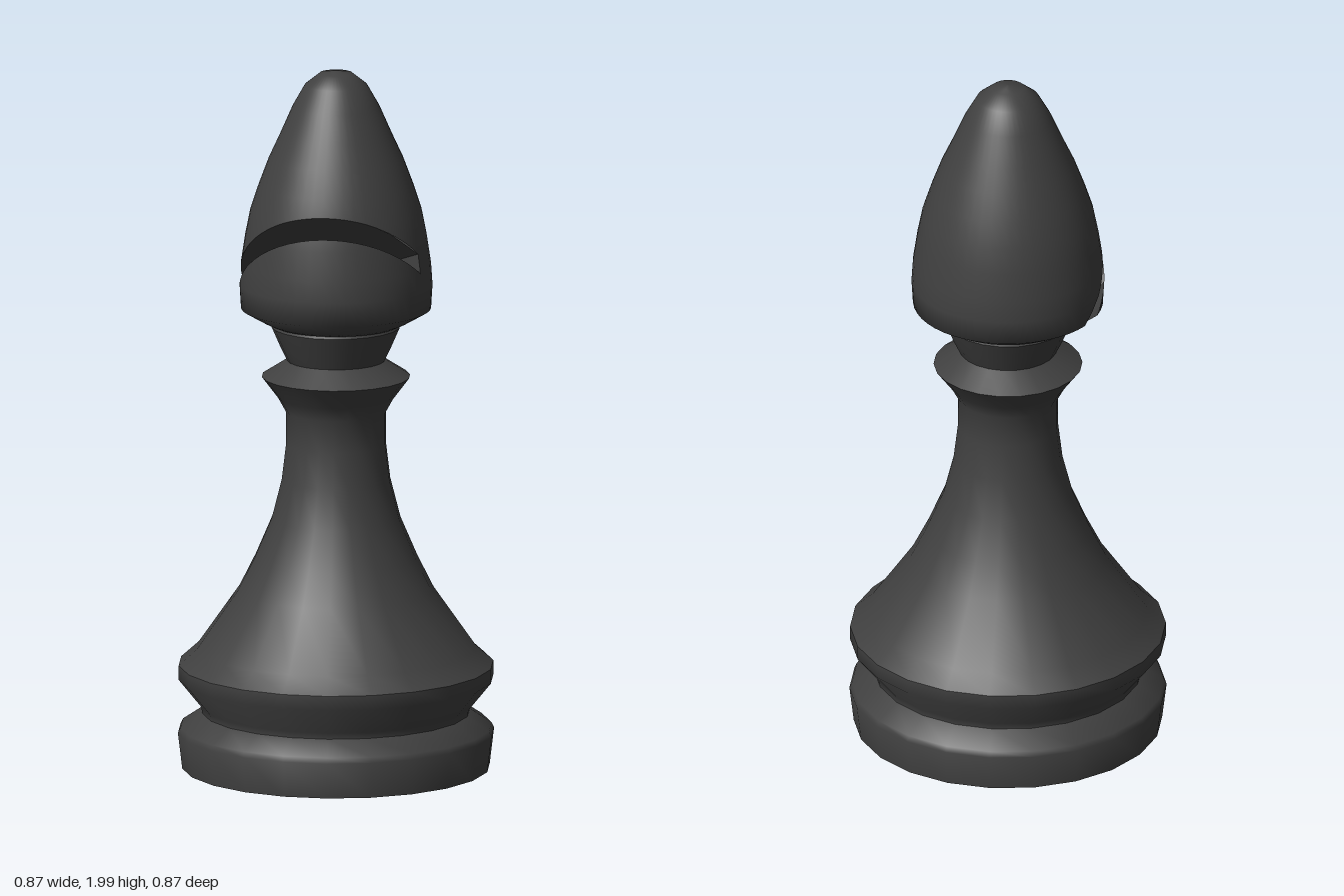
import * as THREE from 'three';
import { toCreasedNormals } from 'three/addons/utils/BufferGeometryUtils.js';

const bodyProfile = [
  [0, 0.01], [0.425, 0.04], [0.437, 0.14], [0.43, 0.155], [0.37, 0.195], [0.372, 0.212],
  [0.435, 0.29], [0.435, 0.33], [0.385, 0.375], [0.27, 0.54], [0.225, 0.63], [0.178, 0.74],
  [0.15, 0.85], [0.138, 0.95], [0.138, 1.04], [0.16, 1.08], [0.205, 1.14], [0.135, 1.185],
  [0.152, 1.22], [0.178, 1.28], [0.17, 1.3], [0, 1.3],
];
const headProfile = [
  [0, 1.283], [0.18, 1.288], [0.205, 1.3], [0.262, 1.333], [0.266, 1.4], [0.262, 1.46],
  [0.25, 1.54], [0.236, 1.61], [0.213, 1.68], [0.185, 1.755], [0.155, 1.82], [0.12, 1.9],
  [0.086, 1.96], [0.045, 1.993], [0, 2],
];
const lathe = (profile, sides) =>
  new THREE.LatheGeometry(profile.map(([r, y]) => new THREE.Vector2(r, y)), sides);

// Slanted axes of the slot: R across, U up, V along its inner edge
const az = Math.PI / 4, el = THREE.MathUtils.degToRad(20);
const R = new THREE.Vector3(Math.cos(az), 0, -Math.sin(az));
const V = new THREE.Vector3(Math.sin(az) * Math.cos(el), Math.sin(el), Math.cos(az) * Math.cos(el));
const U = new THREE.Vector3().crossVectors(V, R);
const innerR = 0.02;
const ceilingU = (r) => 1.345 - 0.75 * r;
const floorU = (r) => 1.29 - 0.7 * r;
const at = (r, u, v) => new THREE.Vector3().addScaledVector(R, r).addScaledVector(U, u).addScaledVector(V, v);

// Signed distances to the slot's three faces
const acrossInner = (p) => p.dot(R) - innerR;
const aboveCeiling = (p) => p.dot(U) - ceilingU(p.dot(R));
const aboveFloor = (p) => p.dot(U) - floorU(p.dot(R));

// Keep the part of a polygon where the distance is positive
function clip(poly, dist) {
  const out = [];
  poly.forEach((a, i) => {
    const b = poly[(i + 1) % poly.length], da = dist(a.p), db = dist(b.p);
    if (da >= 0) out.push(a);
    if ((da >= 0) !== (db >= 0)) {
      const t = da / (da - db);
      out.push({ p: a.p.clone().lerp(b.p, t), n: a.n.clone().lerp(b.n, t).normalize() });
    }
  });
  return out;
}

// Head shell with the slot opening cut away
function slottedHead() {
  const g = lathe(headProfile, 48), pos = g.attributes.position, nor = g.attributes.normal;
  const points = [], normals = [];
  const add = (poly) => {
    for (let i = 1; i + 1 < poly.length; i++) {
      for (const c of [poly[0], poly[i], poly[i + 1]]) {
        points.push(...c.p.toArray());
        normals.push(...c.n.toArray());
      }
    }
  };
  for (let i = 0; i < g.index.count; i += 3) {
    const tri = [0, 1, 2].map((k) => {
      const j = g.index.getX(i + k);
      return { p: new THREE.Vector3().fromBufferAttribute(pos, j), n: new THREE.Vector3().fromBufferAttribute(nor, j) };
    });
    add(clip(tri, acrossInner));
    const outer = clip(tri, (p) => -acrossInner(p));
    add(clip(outer, aboveCeiling));
    add(clip(outer, (p) => -aboveFloor(p)));
  }
  const out = new THREE.BufferGeometry();
  out.setAttribute('position', new THREE.Float32BufferAttribute(points, 3));
  out.setAttribute('normal', new THREE.Float32BufferAttribute(normals, 3));
  return out;
}

function insideHead(p) {
  const i = headProfile.findIndex(([, y]) => y > p.y);
  if (i < 1) return false;
  const [r0, y0] = headProfile[i - 1], [r1, y1] = headProfile[i];
  return Math.hypot(p.x, p.z) < r0 + (r1 - r0) * (p.y - y0) / (y1 - y0);
}

// Distance along a direction to the head surface
function reach(pointAt) {
  let lo = 0, hi = 0.6;
  for (let i = 0; i < 30; i++) {
    const mid = (lo + hi) / 2;
    if (insideHead(pointAt(mid))) lo = mid; else hi = mid;
  }
  return lo;
}

// Strip of quads between two rows of points
function ribbon(rowA, rowB, flip) {
  const points = [];
  for (let i = 0; i + 1 < rowA.length; i++) {
    const [a, b, c, d] = [rowA[i], rowA[i + 1], rowB[i + 1], rowB[i]];
    for (const p of flip ? [a, c, b, a, d, c] : [a, b, c, a, c, d]) points.push(p.x, p.y, p.z);
  }
  const g = new THREE.BufferGeometry();
  g.setAttribute('position', new THREE.Float32BufferAttribute(points, 3));
  g.computeVertexNormals();
  return g;
}

// Inner and outer edge of one slot face
function slotRows(height) {
  const u = height(innerR), mid = u * Math.tan(el), inner = [], outer = [], steps = 40;
  const front = reach((t) => at(innerR, u, mid + t)), back = reach((t) => at(innerR, u, mid - t));
  for (let i = 0; i <= steps; i++) {
    const v = mid - back + (front + back) * i / steps;
    const far = innerR - reach((t) => at(innerR - t, height(innerR - t), v));
    inner.push(at(innerR, u, v));
    outer.push(at(far, height(far), v));
  }
  return { inner, outer };
}

export function createModel() {
  const group = new THREE.Group();
  const charcoal = new THREE.MeshStandardMaterial({ color: 0x404040, side: THREE.DoubleSide });
  charcoal.name = 'charcoal';
  const add = (name, geometry) => {
    const mesh = new THREE.Mesh(geometry, charcoal);
    mesh.name = name;
    group.add(mesh);
  };

  // Turned base, stem and collar
  add('body', toCreasedNormals(lathe(bodyProfile, 22), 0.75));
  // Pointed head with its diagonal slot
  add('head', slottedHead());
  const ceiling = slotRows(ceilingU), floor = slotRows(floorU);
  add('slotCeiling', ribbon(ceiling.inner, ceiling.outer, true));
  add('slotFloor', ribbon(floor.inner, floor.outer, false));
  add('slotBack', ribbon(floor.inner, ceiling.inner, true));
  return group;
}
